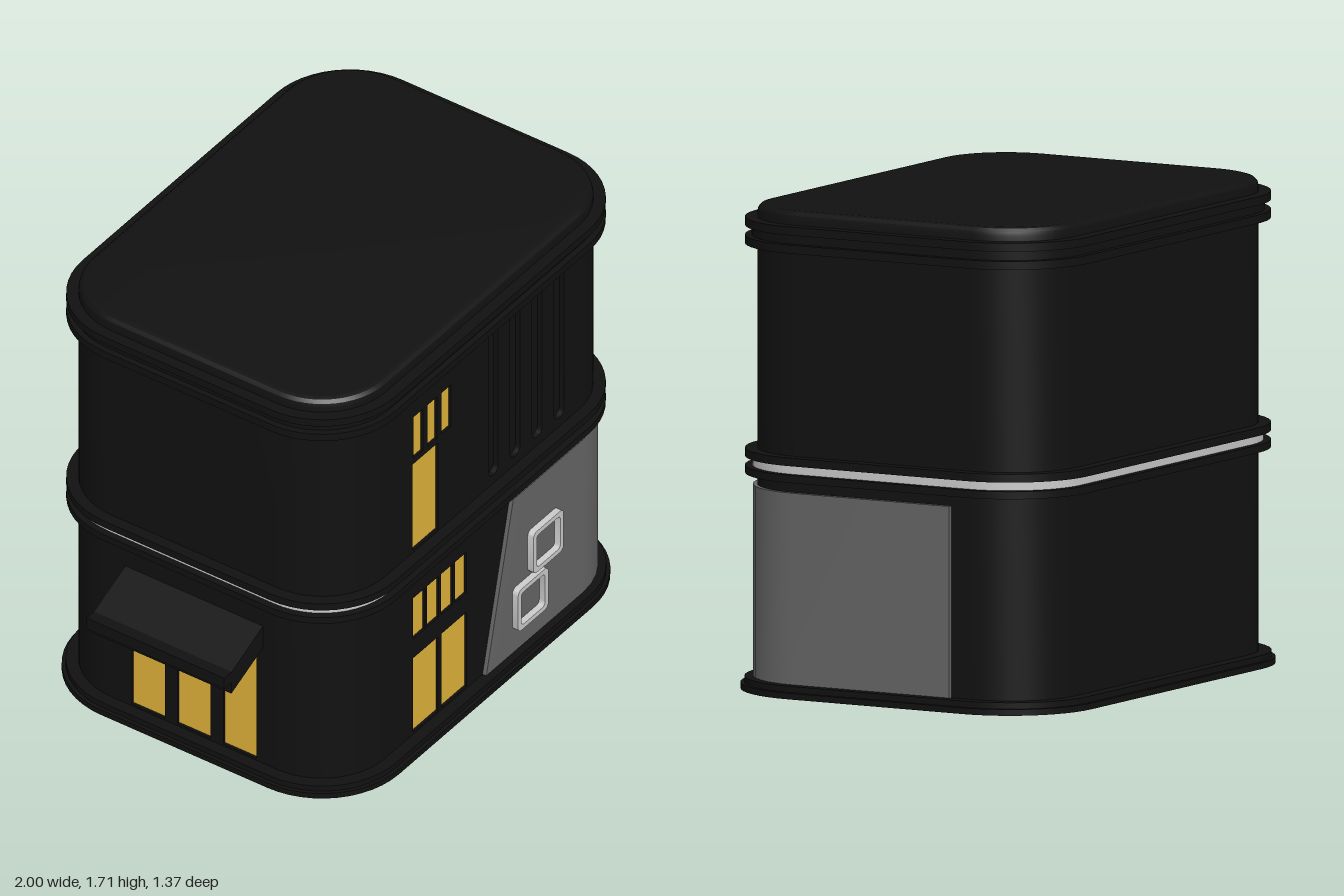
import * as THREE from 'three';
import { toCreasedNormals } from 'three/addons/utils/BufferGeometryUtils.js';

const CX = 0.0855, HW = 0.8525, HD = 0.626, R = 0.27; // footprint centre, half sizes, corner radius
const RECESS = 0.02;
const material = (color) => new THREE.MeshStandardMaterial({ color, roughness: 0.8 });

export function createModel() {
  const model = new THREE.Group();
  const black = material(0x111111), yellow = material(0xe0b23a);
  const grey = material(0x666666), pale = material(0xcccccc);

  function add(parent, name, geometry, mat) {
    const mesh = new THREE.Mesh(geometry, mat);
    mesh.name = name;
    parent.add(mesh);
    return mesh;
  }

  // Rounded footprint in (x, -z), grown by o; optional shallow notches for the window walls
  function footprint(o, frontNotch, sideNotch) {
    const w = HW + o, d = HD + o, r = R + o, s = new THREE.Shape();
    s.moveTo(CX - w + r, -d);
    if (frontNotch) {
      const [a, b] = frontNotch;
      s.lineTo(a, -d); s.lineTo(a, -d + RECESS);
      s.lineTo(b, -d + RECESS); s.lineTo(b, -d);
    }
    s.lineTo(CX + w - r, -d);
    s.absarc(CX + w - r, -d + r, r, -Math.PI / 2, 0, false);
    s.absarc(CX + w - r, d - r, r, 0, Math.PI / 2, false);
    s.absarc(CX - w + r, d - r, r, Math.PI / 2, Math.PI, false);
    if (sideNotch) {
      const x = CX - w, n = sideNotch;
      s.lineTo(x, n); s.lineTo(x + RECESS, n);
      s.lineTo(x + RECESS, -n); s.lineTo(x, -n);
    }
    s.absarc(CX - w + r, -d + r, r, Math.PI, Math.PI * 1.5, false);
    return s;
  }

  function storey(name, shape, y0, y1, mat, bevel = 0) {
    const g = new THREE.ExtrudeGeometry(shape, {
      depth: y1 - y0 - bevel, curveSegments: 6, bevelEnabled: bevel > 0,
      bevelSize: bevel, bevelThickness: bevel, bevelOffset: -bevel, bevelSegments: 3,
    });
    g.rotateX(-Math.PI / 2).translate(0, y0, 0);
    return add(model, name, toCreasedNormals(g, 0.5), mat);
  }

  // Rounded rectangle outline from its edges
  function roundRect(Type, x0, x1, y0, y1, r) {
    const p = new Type();
    p.absarc(x1 - r, y0 + r, r, -Math.PI / 2, 0, false);
    p.absarc(x1 - r, y1 - r, r, 0, Math.PI / 2, false);
    p.absarc(x0 + r, y1 - r, r, Math.PI / 2, Math.PI, false);
    p.absarc(x0 + r, y0 + r, r, Math.PI, Math.PI * 1.5, false);
    p.closePath();
    return p;
  }

  function rect(Type, [x0, x1, y0, y1]) {
    return new Type([[x0, y0], [x1, y0], [x1, y1], [x0, y1]].map((p) => new THREE.Vector2(...p)));
  }

  // Wall plate pierced by windows and grooves, with panes set inside
  function windowWall(name, outline, panes, grooves = []) {
    const group = new THREE.Group();
    group.name = name;
    const s = rect(THREE.Shape, outline);
    panes.forEach((p) => s.holes.push(rect(THREE.Path, p)));
    grooves.forEach(([x0, x1, y0, y1]) =>
      s.holes.push(roundRect(THREE.Path, x0, x1, y0, y1, (x1 - x0) / 2 - 0.001)));
    const g = new THREE.ExtrudeGeometry(s, { depth: RECESS, bevelEnabled: false, curveSegments: 4 });
    add(group, 'wallPlate', toCreasedNormals(g, 0.6), black);
    for (const [x0, x1, y0, y1] of panes) {
      const pane = add(group, 'windowPane', new THREE.BoxGeometry(x1 - x0, y1 - y0, 0.01), yellow);
      pane.position.set((x0 + x1) / 2, (y0 + y1) / 2, 0.005);
    }
    model.add(group);
    return group;
  }

  // Main volumes
  const front = [-0.45, 0.62], sideHalf = 0.33;
  storey('groundFloor', footprint(0, front, sideHalf), 0.01, 0.8, black);
  storey('upperFloor', footprint(0, front), 0.8, 1.62, black);
  storey('roofCap', footprint(0), 1.62, 1.71, black, 0.03);

  // Plinth, belt and cornice bands: [name, growth, bottom, top, material]
  [
    ['plinthLower', 0.059, 0, 0.022, black],
    ['plinthUpper', 0.045, 0.022, 0.044, black],
    ['beltLower', 0.043, 0.76, 0.787, black],
    ['beltStrip', 0.017, 0.787, 0.819, pale],
    ['beltUpper', 0.043, 0.819, 0.848, black],
    ['corniceLower', 0.043, 1.568, 1.598, black],
    ['corniceCore', 0.02, 1.598, 1.632, black],
    ['corniceUpper', 0.043, 1.632, 1.662, black],
  ].forEach(([name, o, y0, y1, mat]) => storey(name, footprint(o), y0, y1, mat));

  // Ground floor front: four small windows above two doors
  const lower = [];
  for (let i = 0; i < 4; i++) lower.push([-0.329 + i * 0.0835, -0.259 + i * 0.0835, 0.465, 0.645]);
  for (let i = 0; i < 2; i++) lower.push([-0.329 + i * 0.171, -0.179 + i * 0.171, 0.053, 0.38]);
  windowWall('groundFrontWall', [...front, 0.01, 0.8], lower).position.z = HD - RECESS;

  // Upper floor front: three small windows, a tall one, and four vertical grooves
  const upper = [[-0.334, -0.18, 0.858, 1.238]];
  for (let i = 0; i < 3; i++) upper.push([-0.327 + i * 0.084, -0.271 + i * 0.084, 1.262, 1.444]);
  const grooves = [];
  for (let i = 0; i < 4; i++) grooves.push([0.122 + i * 0.132, 0.182 + i * 0.132, 0.885, 1.545]);
  windowWall('upperFrontWall', [...front, 0.8, 1.62], upper, grooves).position.z = HD - RECESS;

  // Side wall with three panes beneath the awning
  const side = [];
  for (let i = -1; i <= 1; i++) side.push([i * 0.196 - 0.071, i * 0.196 + 0.071, 0.053, 0.59]);
  const sideWall = windowWall('sideWall', [-sideHalf, sideHalf, 0.01, 0.8], side);
  sideWall.rotation.y = -Math.PI / 2;
  sideWall.position.x = CX - HW + RECESS;

  // Sloping awning with a lip along its outer edge
  const profile = [[-0.76, 0.653], [-0.955, 0.567], [-1, 0.567], [-1, 0.52],
    [-0.957, 0.52], [-0.957, 0.472], [-0.76, 0.557]];
  const awning = new THREE.ExtrudeGeometry(
    new THREE.Shape(profile.map((p) => new THREE.Vector2(...p))), { depth: 0.59, bevelEnabled: false });
  add(model, 'awning', awning.translate(0, 0, -0.295), black);

  // Grey cladding wrapping the front corner, with a slanted leading edge
  const panelSection = (o) => {
    const w = CX + HW - R, d = HD - R, cols = [[0.088, HD + o, 0.25]];
    for (let i = 0; i <= 8; i++) {
      const a = (i / 8) * Math.PI / 2;
      cols.push([w + (R + o) * Math.sin(a), d + (R + o) * Math.cos(a)]);
    }
    cols.push([CX + HW + o, -0.28]);
    return cols;
  };
  const outer = panelSection(0.016), inner = panelSection(-0.004);
  const pos = [], index = [];
  outer.forEach(([x, z, topX = x], i) => {
    const [u, v, topU = u] = inner[i];
    pos.push(x, 0.045, z, topX, 0.72, z, topU, 0.72, v, u, 0.045, v);
    if (i === 0) return;
    const a = (i - 1) * 4, b = i * 4;
    for (let k = 0; k < 4; k++) {
      const n = (k + 1) % 4;
      index.push(a + k, b + k, b + n, a + k, b + n, a + n);
    }
  });
  const e = (outer.length - 1) * 4;
  index.push(0, 1, 2, 0, 2, 3, e, e + 2, e + 1, e, e + 3, e + 2);
  const panel = new THREE.BufferGeometry();
  panel.setAttribute('position', new THREE.Float32BufferAttribute(pos, 3));
  panel.setIndex(index);
  const panelMat = grey.clone();
  panelMat.side = THREE.DoubleSide;
  add(model, 'cornerCladding', toCreasedNormals(panel, 0.5), panelMat);

  // Two square rounded frames on the cladding
  for (const [x, y] of [[0.427, 0.433], [0.335, 0.236]]) {
    const h = 0.091, t = 0.02;
    const s = roundRect(THREE.Shape, x - h, x + h, y - h, y + h, 0.022);
    s.holes.push(roundRect(THREE.Path, x - h + t, x + h - t, y - h + t, y + h - t, 0.016));
    const g = new THREE.ExtrudeGeometry(s, { depth: 0.03, bevelEnabled: false, curveSegments: 5 });
    add(model, 'squareFrame', toCreasedNormals(g.translate(0, 0, 0.637), 0.5), pale);
  }
  return model;
}
